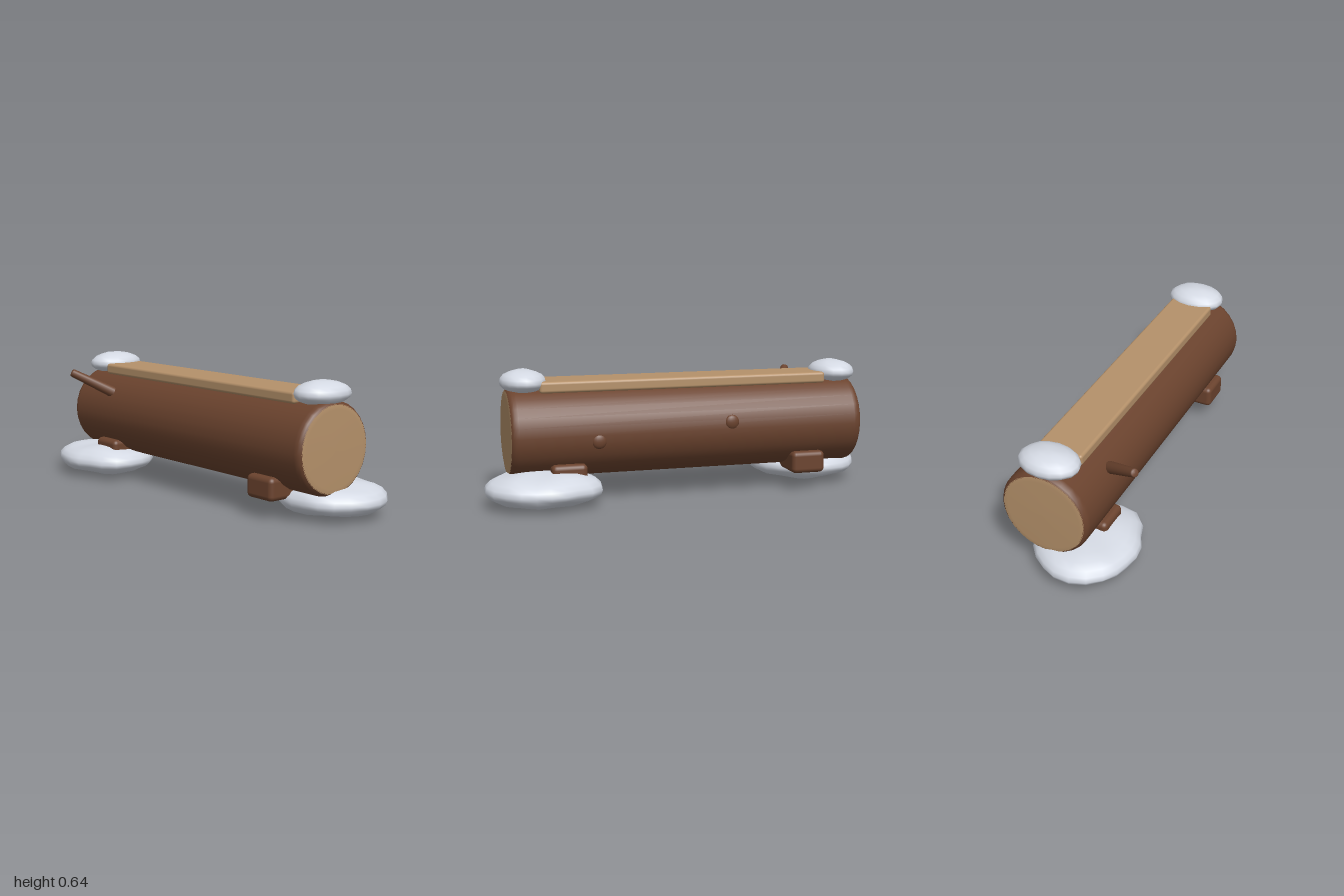
import * as THREE from 'three';
import { mergeVertices } from 'three/addons/utils/BufferGeometryUtils.js';
import { RoundedBoxGeometry } from 'three/addons/geometries/RoundedBoxGeometry.js';

const bark = new THREE.MeshStandardMaterial({ color: 0x6b432e });
bark.name = 'bark';
const wood = new THREE.MeshStandardMaterial({ color: 0xb5916a });
wood.name = 'cutWood';
const snow = new THREE.MeshStandardMaterial({ color: 0xd4d9e3 });
snow.name = 'snow';

const LOG_Y = 0.335;
const FRONT = 0.866;
const BACK = -0.892;

// Plan radii of a ground drift, every 30 degrees from +x towards +z
const DRIFT = [0.24, 0.25, 0.275, 0.285, 0.265, 0.26, 0.25, 0.24, 0.26, 0.275, 0.29, 0.235];

function add(parent, name, geometry, material, x = 0, y = 0, z = 0) {
  const mesh = new THREE.Mesh(geometry, material);
  mesh.name = name;
  mesh.position.set(x, y, z);
  parent.add(mesh);
  return mesh;
}

// Surface turned around the z axis; points are [radius, z], back to front
function turned(points) {
  const g = new THREE.LatheGeometry(points.map(([r, z]) => new THREE.Vector2(r, z)), 28);
  return g.rotateX(Math.PI / 2);
}

// Lumpy squashed sphere whose plan outline follows a list of radii
function snowHeap(radii, up, down, fullness, lump, segments, rings) {
  let g = new THREE.SphereGeometry(1, segments, rings);
  g.deleteAttribute('uv');
  g.deleteAttribute('normal');
  g = mergeVertices(g, 1e-4);
  const p = g.attributes.position;
  const n = radii.length;
  for (let i = 0; i < p.count; i++) {
    const x = p.getX(i), y = p.getY(i), z = p.getZ(i);
    const a = (Math.atan2(z, x) / (2 * Math.PI) + 1) % 1 * n;
    const k = Math.floor(a) % n;
    const plan = THREE.MathUtils.lerp(radii[k], radii[(k + 1) % n], a - Math.floor(a));
    const flat = Math.hypot(x, z);
    const s = flat > 1e-4 ? plan * Math.pow(flat, fullness) / flat : 0;
    const wave = 1 + lump * Math.sin(5 * x + 3 * y) * Math.cos(6 * z - 2 * x);
    p.setXYZ(i, x * s * (1 + (wave - 1) * 0.3), y * (y > 0 ? up : down) * wave, z * s);
  }
  g.computeVertexNormals();
  return g;
}

export function createModel() {
  const model = new THREE.Group();
  model.name = 'snowyLogBench';

  // Log with rounded rims
  const rim = [[0.2, 0], [0.209, 0.006], [0.216, 0.018], [0.219, 0.036]];
  add(model, 'log', turned([
    ...rim.map(([r, d]) => [r, BACK + d]),
    ...rim.slice().reverse().map(([r, d]) => [r, FRONT - d]),
  ]), bark, 0, LOG_Y, 0);

  // Sawn ends, very slightly domed
  add(model, 'frontCut', turned([[0.203, FRONT - 0.001], [0.18, FRONT + 0.003], [0, FRONT + 0.004]]), wood, 0, LOG_Y, 0);
  add(model, 'backCut', turned([[0, BACK - 0.004], [0.18, BACK - 0.003], [0.203, BACK + 0.001]]), wood, 0, LOG_Y, 0);

  // Flat seat on top
  add(model, 'seat', new RoundedBoxGeometry(0.226, 0.055, 1.45, 3, 0.014), wood, 0, 0.558, -0.008);

  // Cross-beam feet
  for (const [name, z] of [['frontFoot', 0.595], ['backFoot', -0.615]]) {
    add(model, name, new RoundedBoxGeometry(0.42, 0.11, 0.172, 3, 0.024), bark, 0, 0.145, z);
  }

  // Knots on the left flank
  for (const [name, y, z] of [['frontKnot', 0.308, 0.455], ['backKnot', 0.37, -0.205]]) {
    const knot = add(model, name, new THREE.SphereGeometry(0.036, 16, 12), bark, 0.21, y, z);
    knot.scale.x = 0.48;
  }

  // Branch stub on the right flank
  const base = new THREE.Vector3(-0.13, 0.425, -0.565);
  const tip = new THREE.Vector3(-0.357, 0.56, -0.7);
  const reach = tip.clone().sub(base);
  const len = reach.length();
  const branchGeo = new THREE.LatheGeometry([
    [0.031, 0], [0.021, len - 0.006], [0.016, len], [0, len + 0.001],
  ].map(([r, y]) => new THREE.Vector2(r, y)), 14);
  const branch = add(model, 'branch', branchGeo, bark, base.x, base.y, base.z);
  branch.quaternion.setFromUnitVectors(new THREE.Vector3(0, 1, 0), reach.normalize());

  // Snow caps on the top ends
  for (const [name, z] of [['frontSnowCap', 0.782], ['backSnowCap', -0.81]]) {
    const cap = add(model, name, snowHeap([1, 1], 0.06, 0.052, 0.95, 0.04, 16, 10), snow, 0.003, 0.578, z);
    cap.scale.set(0.147, 1, 0.112);
  }

  // Drifts on the ground, the back one turned half round
  add(model, 'frontDrift', snowHeap(DRIFT, 0.086, 0.078, 0.8, 0.1, 22, 12), snow, 0.13, 0.083, 0.712);
  const backDrift = add(model, 'backDrift', snowHeap(DRIFT, 0.083, 0.073, 0.8, 0.1, 22, 12), snow, -0.13, 0.085, -0.712);
  backDrift.rotation.y = Math.PI;

  return model;
}
